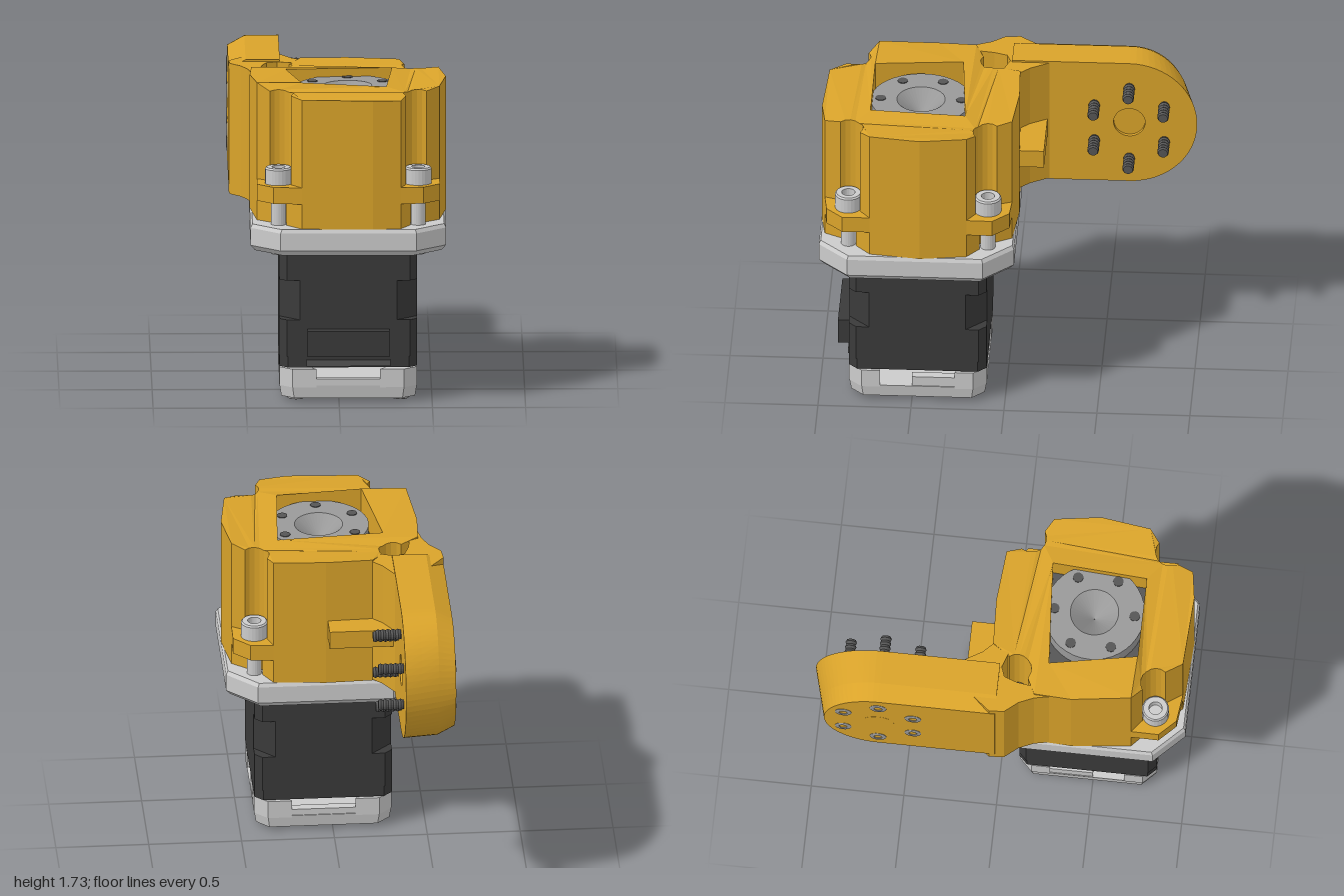
import * as THREE from 'three';

const mat = (color) => new THREE.MeshStandardMaterial({ color, flatShading: true, side: THREE.DoubleSide });
const YELLOW = mat(0xd9a32a), GREY = mat(0xcccccc), STEEL = mat(0x999999), BLACK = mat(0x3a3a3a), DARK = mat(0x555555);
const CX = 0.05, CZ = 0.47;
const BOLTS = [[0.425, 0.84], [-0.325, 0.84], [-0.325, 0.09], [0.425, 0.09]];

function add(parent, name, geo, material, x = 0, y = 0, z = 0) {
  const m = new THREE.Mesh(geo, material);
  m.name = name;
  m.position.set(x, y, z);
  parent.add(m);
  return m;
}

// Moves every vertex of a geometry by a rule
function bend(geo, rule) {
  const p = geo.attributes.position, v = new THREE.Vector3();
  for (let i = 0; i < p.count; i++) {
    rule(v.fromBufferAttribute(p, i));
    p.setXYZ(i, v.x, v.y, v.z);
  }
  geo.computeVertexNormals();
  return geo;
}

// Upright prism from an [x, z] outline
function slab(outline, y0, y1, hole) {
  const path = (pts) => pts.map(([x, z]) => new THREE.Vector2(x, -z));
  const s = new THREE.Shape(path(outline));
  if (hole) s.holes.push(new THREE.Path(path(hole)));
  const g = new THREE.ExtrudeGeometry(s, { depth: y1 - y0, bevelEnabled: false });
  return g.rotateX(-Math.PI / 2).translate(0, y0, 0);
}

// Square with cut corners, as [x, z] points
function cutSquare(cx, cz, h, c) {
  const k = h - c;
  return [[h, -k], [h, k], [k, h], [-k, h], [-h, k], [-h, -k], [-k, -h], [k, -h]].map(([x, z]) => [cx + x, cz + z]);
}

// Housing outline: faceted sides joined by corners (a notch around each bolt, or a plain cut when r = 0)
function housingOutline(r) {
  const sides = [
    [[0.54, 0.2], [0.577, 0.45], [0.54, 0.72]],
    [[0.33, 0.972], [0.18, 0.995], [-0.2, 0.975]],
    [[-0.44, 0.72], [-0.475, 0.4], [-0.465, 0.2]],
    [[-0.2, -0.05], [0.05, -0.06], [0.33, -0.035]],
  ];
  const out = [];
  sides.forEach((side, i) => {
    out.push(...side);
    const [bx, bz] = BOLTS[i], a = Math.PI / 4 + i * Math.PI / 2;
    if (r) {
      for (let k = 0; k <= 8; k++) {
        const t = a - (100 + k * 20) * Math.PI / 180;
        out.push([bx + r * Math.cos(t), bz + r * Math.sin(t)]);
      }
    } else {
      for (const d of [-0.55, 0.55]) out.push([bx + 0.12 * Math.cos(a + d), bz + 0.12 * Math.sin(a + d)]);
    }
  });
  return out;
}

// Socket-head profile standing on y = 0
function headGeometry(r, h) {
  const pts = [[0, 0], [r, 0], [r, h * 0.9], [r * 0.9, h], [r * 0.5, h], [r * 0.5, h * 0.45], [0, h * 0.45]];
  return new THREE.LatheGeometry(pts.map((p) => new THREE.Vector2(...p)), 24);
}

function makeHousing() {
  const g = new THREE.Group();
  g.name = 'housing';
  const opening = [[-0.28, 0.26], [0.29, 0.22], [0.255, 0.73], [-0.2, 0.73]];
  add(g, 'housingFoot', slab(housingOutline(0.052), 0.975, 1.11), YELLOW);
  add(g, 'boltSeats', slab(housingOutline(0), 1.11, 1.2), YELLOW);
  const upper = bend(slab(housingOutline(0.08), 1.2, 1.705, opening), (v) => {
    if (v.y < 1.5) return;
    const dx = Math.abs(v.x - CX), dz = Math.abs(v.z - CZ);
    v.y -= Math.max(0, Math.min(dx, dz) - 0.27) * 0.45;
    if (v.z > 0.97) v.y -= 0.025;
    if (v.z > 0.7 && v.z < 0.75 && v.x < 0) v.y += 0.022;
  });
  add(g, 'housingBody', upper, YELLOW);
  add(g, 'rearCatch', new THREE.BoxGeometry(0.36, 0.1, 0.15), YELLOW, -0.14, 1.3, -0.115);

  // Shoulder that carries the side arm into the body
  const shoulder = [[-0.585, -0.03], [-0.578, 0.05], [-0.52, 0.12], [-0.485, 0.2], [-0.465, 0.3], [-0.42, 0.2],
    [-0.405, 0.1], [-0.38, 0.03], [-0.325, 0.01], [-0.27, 0.03], [-0.24, 0.04], [-0.2, -0.05], [-0.25, -0.1], [-0.31, -0.2], [-0.45, -0.2]];
  add(g, 'shoulder', slab(shoulder, 0.98, 1.695), YELLOW);
  return g;
}

function makeArm() {
  const g = new THREE.Group();
  g.name = 'sideArm';
  const U = 0.63, V = 1.34, R = 0.365;
  const s = new THREE.Shape();
  s.moveTo(0, V - R);
  s.lineTo(U, V - R);
  s.absarc(U, V, R, -Math.PI / 2, Math.PI / 2, false);
  s.lineTo(0, V + R);
  const hub = new THREE.Path();
  hub.absarc(U, V, 0.085, 0, Math.PI * 2, true);
  s.holes.push(hub);
  const geo = new THREE.ExtrudeGeometry(s, { depth: 0.275, steps: 3, bevelEnabled: false, curveSegments: 16 });
  // Rounded end leans inwards and the outer rim is bevelled
  bend(geo, (v) => {
    if (v.x > U) v.x = U + (v.x - U) * (0.8 + 0.2 * v.z / 0.275);
    if (v.z < 0.01) v.y = V + (v.y - V) * 0.86;
  });
  add(g, 'armPlate', geo.rotateY(Math.PI / 2).translate(-0.585, 0, 0), YELLOW);
  const plug = new THREE.CylinderGeometry(0.086, 0.086, 0.255, 32).rotateZ(Math.PI / 2);
  add(g, 'hubPlug', plug, YELLOW, -0.458, V, -U);

  // Threaded screws around the hub
  const thread = [[0, 0]];
  for (let i = 0; i <= 12; i++) thread.push([i % 2 ? 0.031 : 0.025, i * 0.0133]);
  thread.push([0, 0.16]);
  const screw = new THREE.LatheGeometry(thread.map((p) => new THREE.Vector2(...p)), 16).rotateZ(-Math.PI / 2);
  const head = headGeometry(0.045, 0.03).rotateZ(Math.PI / 2);
  for (let i = 0; i < 6; i++) {
    const a = Math.PI / 2 + i * Math.PI / 3;
    const y = V + 0.217 * Math.sin(a), z = -U + 0.217 * Math.cos(a);
    add(g, 'armScrew', screw, DARK, -0.333, y, z);
    add(g, 'armScrewHead', head, STEEL, -0.56, y, z);
  }
  return g;
}

function makeMotor() {
  const g = new THREE.Group();
  g.name = 'motor';
  // End bells and a laminated core with deeper cut corners
  for (const [y0, y1, c] of [[0.19, 0.25, 0.045], [0.25, 0.45, 0.04], [0.45, 0.665, 0.11], [0.665, 0.83, 0.04]])
    add(g, 'motorCase', slab(cutSquare(CX, CZ, 0.37, c), y0, y1), BLACK);
  add(g, 'connector', new THREE.BoxGeometry(0.44, 0.14, 0.08), BLACK, CX, 0.33, 0.865);
  add(g, 'connectorLip', new THREE.BoxGeometry(0.45, 0.035, 0.02), DARK, CX, 0.215, 0.84);
  return g;
}

function makeBottomCover() {
  const g = new THREE.Group();
  g.name = 'bottomCover';
  const floor = bend(slab(cutSquare(CX, CZ, 0.37, 0.07), 0.02, 0.09), (v) => {
    if (v.y < 0.05) { v.x = CX + (v.x - CX) * 0.97; v.z = CZ + (v.z - CZ) * 0.97; }
  });
  add(g, 'coverFloor', floor, GREY);
  for (const sx of [-1, 1]) {
    // Low walls between taller corner blocks
    add(g, 'sideWall', new THREE.BoxGeometry(0.05, 0.06, 0.3), GREY, CX + sx * 0.34, 0.115, CZ - 0.12);
    add(g, 'endWall', new THREE.BoxGeometry(0.36, 0.04, 0.05), GREY, CX, 0.105, CZ + sx * 0.34);
    for (const sz of [-1, 1]) {
      const corner = [[0.37, 0.2], [0.37, 0.3], [0.3, 0.37], [0.17, 0.37], [0.21, 0.3], [0.3, 0.22]];
      add(g, 'coverCorner', slab(corner.map(([x, z]) => [CX + sx * x, CZ + sz * z]), 0.08, 0.18), GREY);
      add(g, 'standoff', new THREE.CylinderGeometry(0.04, 0.04, 0.13, 16), GREY, CX + sx * 0.28, 0.14, CZ + sz * 0.28);
      add(g, 'coverScrew', headGeometry(0.045, 0.025).rotateX(Math.PI), STEEL, CX + sx * 0.28, 0.03, CZ + sz * 0.28);
    }
  }
  // Cooling fins underneath
  for (let i = 0; i < 8; i++)
    for (let j = -1; j <= 1; j++)
      add(g, 'coolingFin', new THREE.BoxGeometry(0.014, 0.03, 0.14), GREY, CX - 0.175 + i * 0.05, 0.015, CZ + j * 0.17);
  return g;
}

export function createModel() {
  const model = new THREE.Group();
  model.name = 'motorActuator';
  model.add(makeHousing(), makeArm(), makeMotor(), makeBottomCover());

  // Flange with eased upper and lower rims
  const F = 0.475, rims = [[0.83, 0.955], [0.86, 1], [0.955, 1], [0.975, 0.98]];
  for (let i = 0; i < 3; i++) {
    const [y0, s0] = rims[i], [y1, s1] = rims[i + 1];
    const geo = bend(slab(cutSquare(CX, F, 0.525, 0.16), y0, y1), (v) => {
      const s = v.y < (y0 + y1) / 2 ? s0 : s1;
      v.x = CX + (v.x - CX) * s;
      v.z = F + (v.z - F) * s;
    });
    add(model, 'flange', geo, GREY);
  }

  // Corner bolts through housing and flange
  for (const [x, z] of BOLTS) {
    add(model, 'cornerBoltHead', headGeometry(0.072, 0.09), GREY, x, 1.2, z);
    add(model, 'cornerBoltShaft', new THREE.CylinderGeometry(0.04, 0.04, 0.38, 20), GREY, x, 1.005, z);
  }

  // Output disc with conical centre and bolt circle
  const profile = [[0.27, 1.5], [0.27, 1.66], [0.13, 1.66], [0, 1.55]].map((p) => new THREE.Vector2(...p));
  add(model, 'outputDisc', new THREE.LatheGeometry(profile, 40), STEEL, CX, 0, CZ);
  add(model, 'discBacking', new THREE.BoxGeometry(0.62, 0.04, 0.56), DARK, CX - 0.03, 1.55, CZ).scale.y = 0.1;
  for (let i = 0; i < 6; i++) {
    const a = Math.PI / 2 + i * Math.PI / 3;
    add(model, 'discHole', new THREE.CylinderGeometry(0.028, 0.028, 0.006, 16), DARK,
      CX + 0.217 * Math.cos(a), 1.661, CZ + 0.217 * Math.sin(a));
  }
  return model;
}
